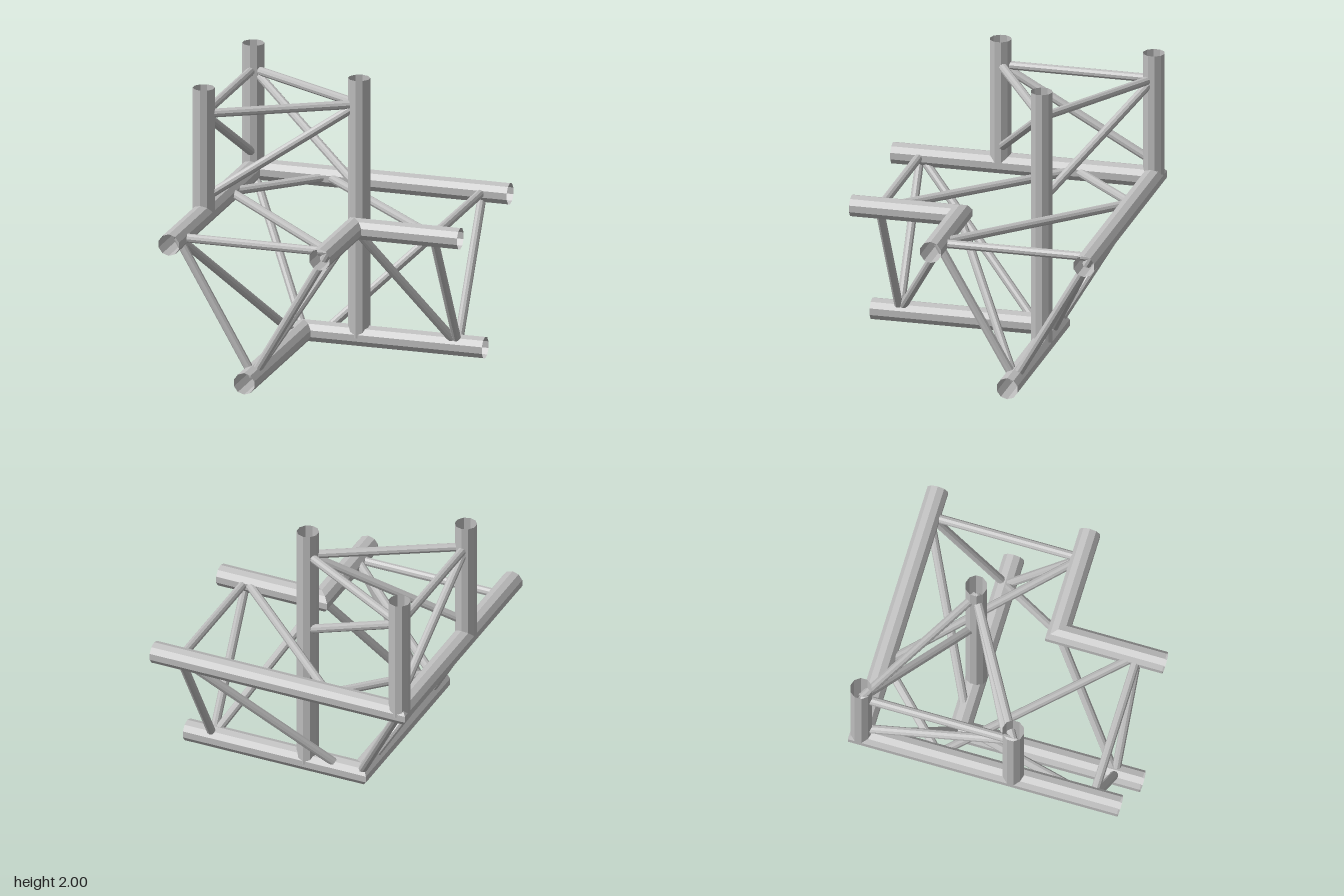
import * as THREE from 'three';

const R = 0.08, r = 0.032, SIDES = 10;
const OUT = -0.924, LOW = -0.359, INN = 0.206;   // corner positions of the three chords
const TOP = 1.06, BOT = 0.08;                    // chord heights

export function createModel() {
  const group = new THREE.Group();
  const steel = new THREE.MeshStandardMaterial({ color: 0xbebebe, flatShading: true, side: THREE.DoubleSide });
  steel.name = 'steel grey';

  const add = (geo, name) => {
    const m = new THREE.Mesh(geo, steel);
    m.name = name;
    group.add(m);
    return m;
  };

  // straight open tube between two points
  const bar = (name, a, b, radius = r) => {
    const p = new THREE.Vector3(...a), q = new THREE.Vector3(...b);
    const m = add(new THREE.CylinderGeometry(radius, radius, p.distanceTo(q), SIDES, 1, true), name);
    m.position.copy(p).add(q).multiplyScalar(0.5);
    m.quaternion.setFromUnitVectors(new THREE.Vector3(0, 1, 0), q.sub(p).normalize());
  };

  // L-shaped chord with a mitred corner at (c, y, c)
  const chord = (name, c, y) => {
    const pos = [], idx = [];
    for (let k = 0; k < 3; k++) {
      for (let i = 0; i < SIDES; i++) {
        const t = (i / SIDES) * Math.PI * 2;
        const a = c + R * Math.sin(t);
        pos.push(k === 2 ? 1 : a, y + R * Math.cos(t), k === 0 ? 1 : a);
      }
    }
    for (let k = 0; k < 2; k++) {
      for (let i = 0; i < SIDES; i++) {
        const j = (i + 1) % SIDES, p = k * SIDES, q = p + SIDES;
        idx.push(p + i, q + i, p + j, p + j, q + i, q + j);
      }
    }
    const g = new THREE.BufferGeometry();
    g.setAttribute('position', new THREE.Float32BufferAttribute(pos, 3));
    g.setIndex(idx);
    const flat = g.toNonIndexed();
    flat.computeVertexNormals();
    add(flat, name);
  };

  chord('outerChord', OUT, TOP);
  chord('innerChord', INN, TOP);
  chord('lowerChord', LOW, BOT);

  // upright truss: three posts with straight and diagonal braces
  const posts = [[OUT, OUT, TOP], [0.055, LOW, BOT], [OUT, INN, TOP]];
  const HIGH = 1.805, DEEP = 1.175;
  posts.forEach(([x, z, base], i) => {
    const [nx, nz] = posts[(i + 1) % 3];
    bar('post', [x, base, z], [x, 2, z], R);
    bar('postBrace', [x, HIGH, z], [nx, HIGH, nz]);
    bar('postDiagonal', [x, HIGH, z], [nx, DEEP, nz]);
  });

  // two mirrored horizontal arms
  const E = 0.797;
  for (const swap of [false, true]) {
    const side = swap ? 'left' : 'front';
    const at = (x, y, z) => (swap ? [z, y, x] : [x, y, z]);
    const brace = (name, a, b) => bar(side + name, at(...a), at(...b));
    brace('TopBrace', [OUT, TOP, E], [INN, TOP, E]);
    brace('InnerBrace', [INN, TOP, E], [LOW, BOT, E]);
    brace('OuterBrace', [OUT, TOP, E], [LOW, BOT, E]);
    brace('TopDiagonal', [OUT, TOP, -0.37], [INN, TOP, E]);
    brace('InnerDiagonal', [INN, TOP, INN], [LOW, BOT, E]);
    brace('OuterDiagonal', [OUT, TOP, E], [LOW, BOT, -0.21]);
  }

  // corner braces
  bar('cornerBrace', [OUT, TOP, OUT], [LOW, BOT, LOW]);
  bar('cornerTie', [OUT, TOP, -0.34], [-0.34, TOP, OUT]);

  return group;
}
